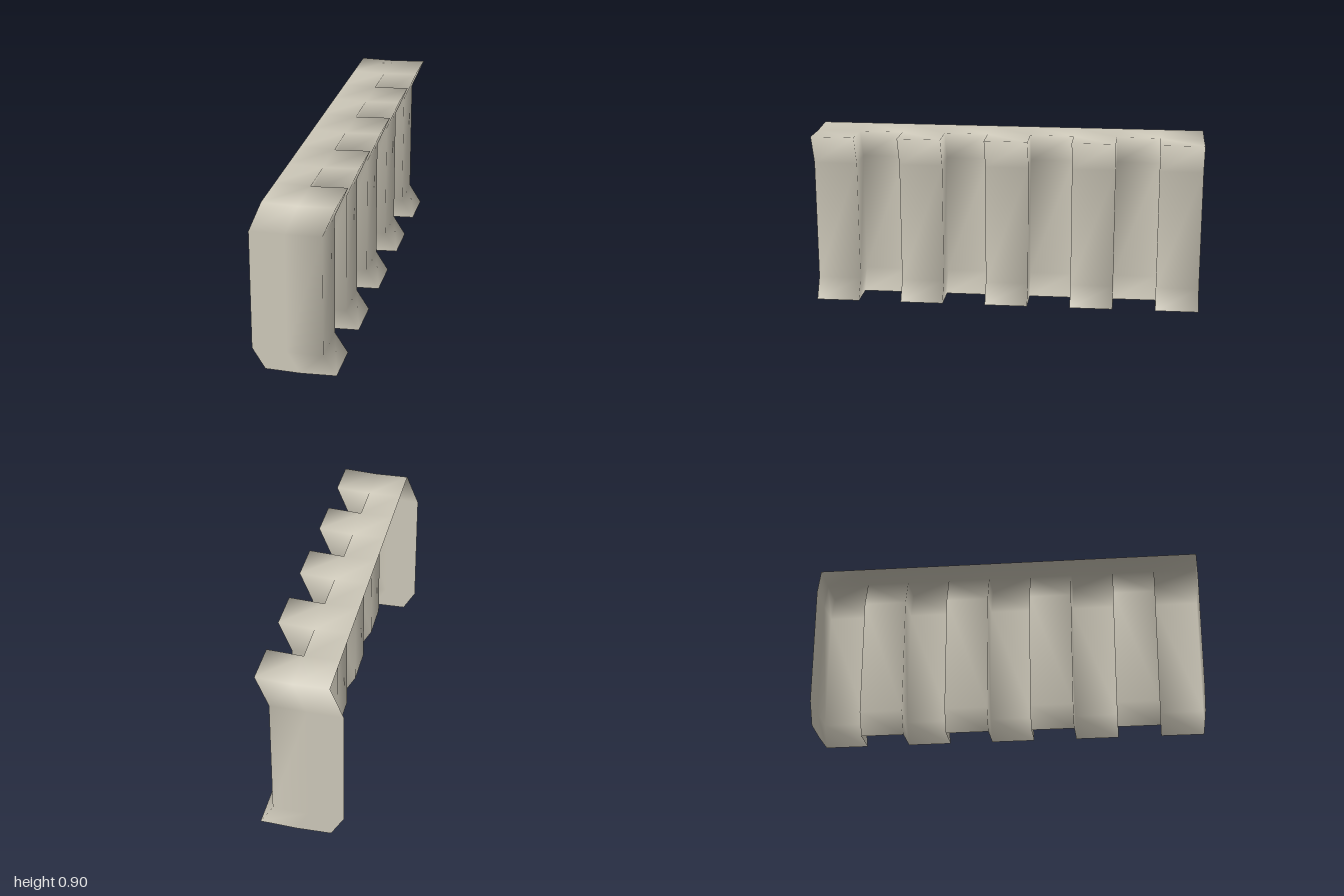
import * as THREE from 'three';

// Open-backed ribbed shell: five ribs alternate with four recesses along z.
const BAYS = 9;
// Three columns of the cross-section: left edge, recess face, rib face.
const FLARED_X = [-0.145, 0.03, 0.21]; // at the top and bottom rims
const WAIST_X = [-0.21, -0.035, 0.145]; // on the straight middle part
const ROWS = [
  { x: FLARED_X, y: [0, 0, 0.012] },
  { x: WAIST_X, y: [0.107, 0.11, 0.115] },
  { x: WAIST_X, y: [0.732, 0.737, 0.745] },
  { x: FLARED_X, y: [0.888, 0.888, 0.9] },
];

function shellGeometry() {
  const positions = [];
  const index = [];
  for (let k = 0; k <= BAYS; k++) {
    const z = 1 - (2 * k) / BAYS;
    for (const row of ROWS) {
      for (let c = 0; c < 3; c++) positions.push(row.x[c], row.y[c], z);
    }
  }
  const v = (k, row, col) => k * 12 + row * 3 + col;
  const quad = (a, b, c, d) => index.push(a, b, c, a, c, d);

  // Upright panel across z, between two columns; sign gives its facing.
  const crossWall = (k, c0, c1, sign) => {
    for (let r = 0; r < 3; r++) {
      const [l, m] = sign > 0 ? [c0, c1] : [c1, c0];
      quad(v(k, r, l), v(k, r, m), v(k, r + 1, m), v(k, r + 1, l));
    }
  };

  for (let k = 0; k < BAYS; k++) {
    const isRib = k % 2 === 0;
    const face = isRib ? 2 : 1;
    // Top
    for (let c = 0; c < face; c++) {
      quad(v(k, 3, c), v(k, 3, c + 1), v(k + 1, 3, c + 1), v(k + 1, 3, c));
    }
    // Outer face with flared rims
    for (let r = 0; r < 3; r++) {
      quad(v(k, r, face), v(k + 1, r, face), v(k + 1, r + 1, face), v(k, r + 1, face));
    }
    // Rib sides
    if (isRib) {
      crossWall(k, 1, 2, 1);
      crossWall(k + 1, 1, 2, -1);
    }
  }
  // Remaining part of the two end caps
  crossWall(0, 0, 1, 1);
  crossWall(BAYS, 0, 1, -1);

  const geometry = new THREE.BufferGeometry();
  geometry.setAttribute('position', new THREE.Float32BufferAttribute(positions, 3));
  geometry.setIndex(index);
  geometry.computeVertexNormals(); // shared corners give soft shading
  return geometry;
}

export function createModel() {
  const stone = new THREE.MeshStandardMaterial({ color: 0xccc7b8, side: THREE.DoubleSide });
  stone.name = 'paleStone';

  const shell = new THREE.Mesh(shellGeometry(), stone);
  shell.name = 'ribbedWall';

  const model = new THREE.Group();
  model.name = 'ribbedWallSection';
  model.add(shell);
  return model;
}
